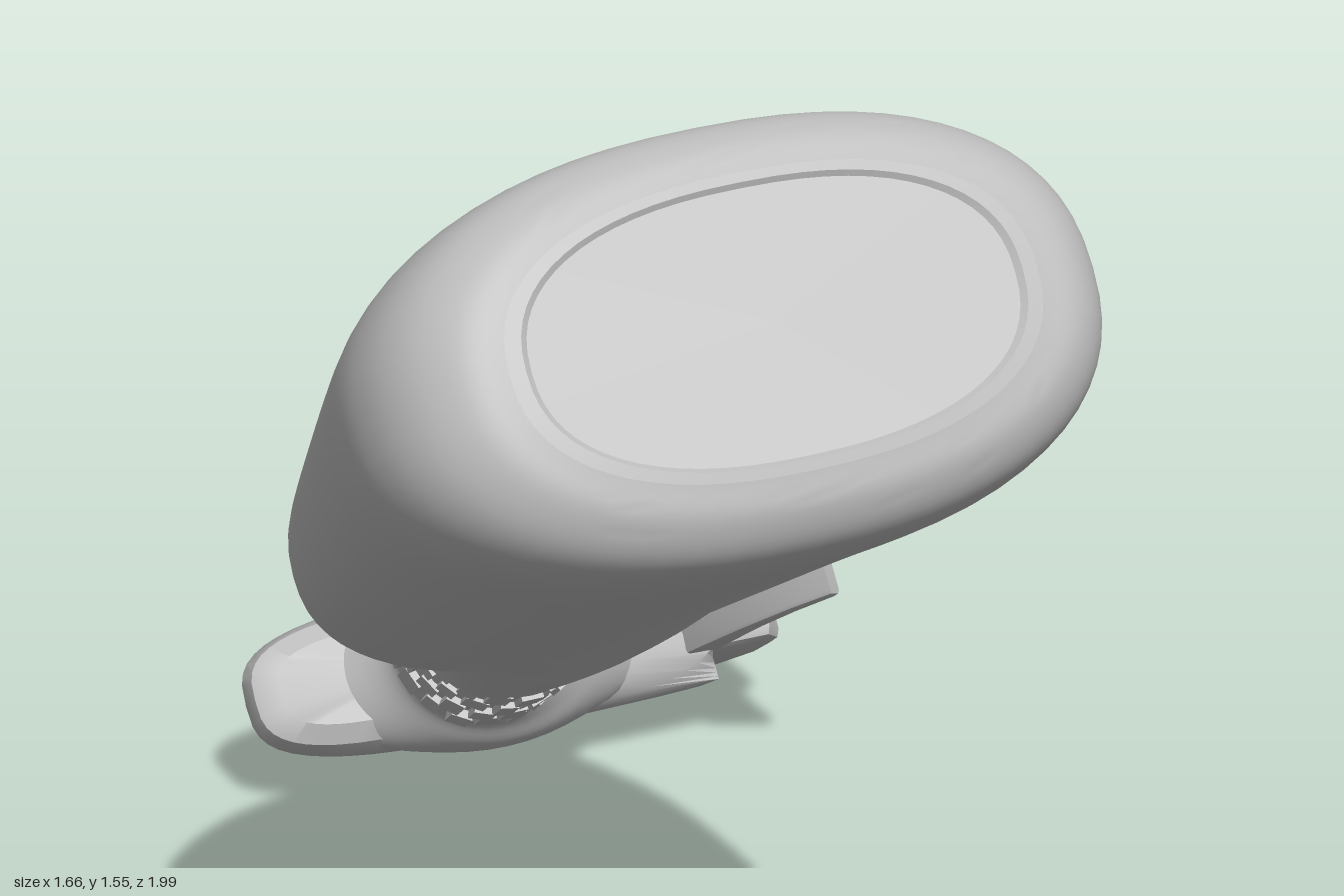
import * as THREE from 'three';
import { toCreasedNormals } from 'three/addons/utils/BufferGeometryUtils.js';

const plastic = new THREE.MeshStandardMaterial({ color: 0xbdbdbd });
plastic.name = 'grey plastic';

// Loft of superellipse rings [y, xMin, xMax, halfDepth], ordered by rising y;
// clip cuts the front off flat, smooth splines between the rings.
function loft(rings, { power = 2, clip = Infinity, steps = 0, sides = 48, crease = 0.6 } = {}) {
  let list = rings;
  if (steps) {
    const spline = (f) => new THREE.CatmullRomCurve3(rings.map(f), false, 'catmullrom', 0.5);
    const a = spline((r) => new THREE.Vector3(r[1], r[0], r[2]));
    const b = spline((r) => new THREE.Vector3(r[3], 0, 0));
    list = [];
    for (let i = 0; i <= steps; i++) {
      const p = a.getPoint(i / steps);
      list.push([p.y, p.x, p.z, b.getPoint(i / steps).x]);
    }
  }
  const pos = [], index = [];
  const bend = (v) => Math.sign(v) * Math.pow(Math.abs(v), 2 / power);
  list.forEach(([y, x0, x1, h], i) => {
    for (let j = 0; j < sides; j++) {
      const t = (j / sides) * Math.PI * 2;
      const x = (x0 + x1) / 2 + ((x1 - x0) / 2) * bend(Math.cos(t));
      pos.push(Math.min(x, clip), y, h * bend(Math.sin(t)));
      if (i === list.length - 1) continue;
      const k = (j + 1) % sides, a = i * sides + j, c = i * sides + k;
      index.push(a, a + sides, c, a + sides, c + sides, c);
    }
  });
  const g = new THREE.BufferGeometry();
  g.setAttribute('position', new THREE.Float32BufferAttribute(pos, 3));
  g.setIndex(index);
  return toCreasedNormals(g, crease);
}

// Side profile extruded evenly about the middle plane, with a small bevel
function plate(points, width, bevel) {
  const shape = new THREE.Shape(points.map(([x, y]) => new THREE.Vector2(x, y)));
  const depth = width - 2 * bevel;
  const g = new THREE.ExtrudeGeometry(shape, {
    depth, bevelSize: bevel, bevelThickness: bevel, bevelOffset: -bevel, bevelSegments: 2,
  });
  return toCreasedNormals(g.translate(0, 0, -depth / 2), 0.5);
}

export function createModel() {
  const model = new THREE.Group();
  model.name = 'sprayBottle';

  // Everything is built upside down along local y, then tilted as one piece
  const tilted = new THREE.Group();
  tilted.name = 'tiltedBottle';
  tilted.rotation.set(THREE.MathUtils.degToRad(54), -0.11, THREE.MathUtils.degToRad(16), 'XZY');
  tilted.position.set(0, 0.49, -0.356);
  model.add(tilted);

  const add = (name, geometry, parent = tilted) => {
    const mesh = new THREE.Mesh(geometry, plastic);
    mesh.name = name;
    parent.add(mesh);
    return mesh;
  };

  // Bottle: round neck, sloped shoulder at the back, wide rounded base
  add('bottle', loft([
    [-0.165, -0.033, 0.255, 0.13],
    [-0.12, -0.038, 0.275, 0.135],
    [0.01, -0.066, 0.307, 0.147],
    [0.13, -0.102, 0.333, 0.154],
    [0.205, -0.147, 0.35, 0.158],
    [0.275, -0.22, 0.364, 0.162],
    [0.37, -0.315, 0.381, 0.168],
    [0.52, -0.37, 0.403, 0.182],
    [0.75, -0.41, 0.43, 0.204],
    [1.12, -0.459, 0.456, 0.241],
    [1.31, -0.477, 0.465, 0.262],
    [1.41, -0.466, 0.464, 0.27],
    [1.48, -0.432, 0.445, 0.262],
    [1.525, -0.38, 0.405, 0.227],
    [1.543, -0.325, 0.35, 0.185],
  ], { power: 2.35, steps: 70, sides: 64, crease: 1 }));

  // Base with a very shallow recessed oval
  add('base', loft([
    [1.543, -0.325, 0.35, 0.185],
    [1.546, -0.305, 0.33, 0.172],
    [1.54, -0.297, 0.322, 0.166],
    [1.54, 0.012, 0.012, 0],
  ], { power: 2.35, sides: 64, crease: 0.3 }));

  // Ribbed screw collar
  const collar = new THREE.Group();
  collar.name = 'collar';
  collar.position.x = 0.112;
  tilted.add(collar);
  add('collarSleeve', loft([
    [-0.4, -0.115, 0.115, 0.115],
    [-0.37, -0.123, 0.123, 0.123],
    [-0.2, -0.129, 0.129, 0.129],
    [-0.15, -0.14, 0.14, 0.132],
  ]), collar);
  let seed = 7;
  const random = () => (seed = (seed * 16807) % 2147483647) / 2147483647;
  for (let row = 0; row < 4; row++) {
    for (let i = 0; i < 18; i++) {
      const angle = ((i + 0.5 * (row % 2)) / 18) * Math.PI * 2;
      const rib = add('collarRib', new THREE.BoxGeometry(0.02, 0.03 + 0.025 * random(), 0.025 + 0.015 * random()), collar);
      const r = 0.122 + 0.006 * random();
      rib.position.set(Math.cos(angle) * r, -0.345 + row * 0.05, Math.sin(angle) * r);
      rib.rotation.y = -angle;
    }
  }

  // Sprayer body flaring from the collar to the shroud
  add('sprayerBody', loft([
    [-0.6, -0.15, 0.5, 0.115],
    [-0.55, -0.14, 0.46, 0.135],
    [-0.51, -0.09, 0.4, 0.15],
    [-0.46, -0.035, 0.34, 0.15],
    [-0.42, -0.01, 0.3, 0.132],
    [-0.38, -0.008, 0.255, 0.122],
    [-0.35, 0.0, 0.23, 0.112],
  ], { steps: 24, crease: 1 }));

  // Shroud: flat straight-sided top, blunt sloping back, front cut off square
  add('shroud', loft([
    [-0.787, 0.3, 0.3, 0],
    [-0.787, 0.06, 0.75, 0.076],
    [-0.77, -0.01, 0.75, 0.084],
    [-0.69, -0.1, 0.76, 0.1],
    [-0.62, -0.17, 0.78, 0.113],
    [-0.575, -0.2, 0.75, 0.118],
    [-0.545, -0.212, 0.54, 0.115],
    [-0.51, -0.205, 0.4, 0.1],
    [-0.49, -0.17, 0.25, 0.07],
    [-0.49, 0.05, 0.05, 0],
  ], { power: 3.2, clip: 0.525 }));

  // Nozzle block
  add('nozzle', plate([
    [0.5, -0.765], [0.59, -0.77], [0.65, -0.71], [0.662, -0.64], [0.63, -0.585], [0.5, -0.57],
  ], 0.13, 0.018));

  // Curved trigger
  add('trigger', plate([
    [0.44, -0.62], [0.53, -0.62], [0.545, -0.51], [0.568, -0.42], [0.6, -0.345],
    [0.645, -0.277], [0.625, -0.258], [0.575, -0.32], [0.525, -0.41], [0.485, -0.5],
  ], 0.14, 0.008));

  return model;
}
